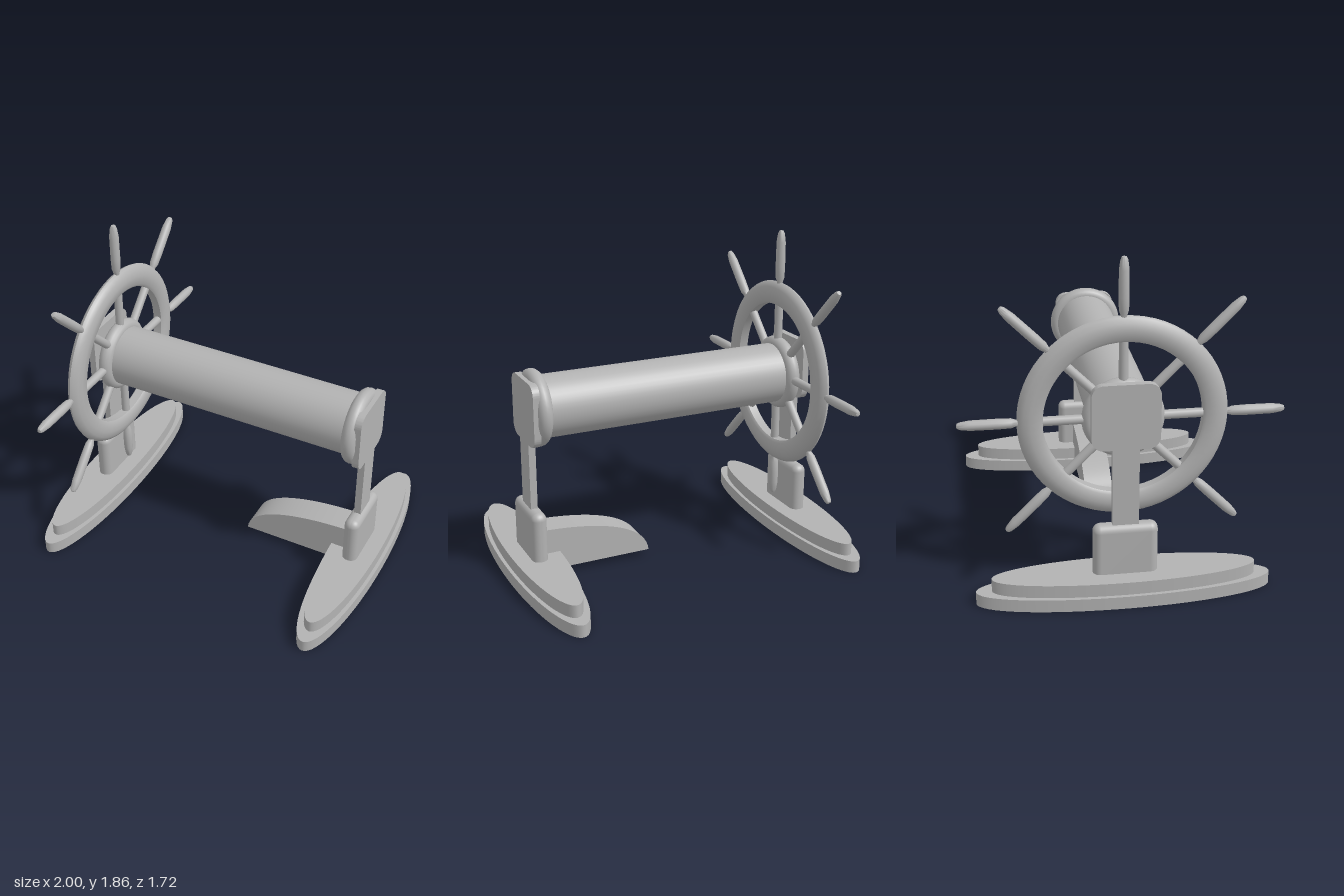
import * as THREE from 'three';
import { toCreasedNormals } from 'three/addons/utils/BufferGeometryUtils.js';
import { RoundedBoxGeometry } from 'three/addons/geometries/RoundedBoxGeometry.js';

const grey = new THREE.MeshStandardMaterial({ color: 0xb2b2b2 });
grey.name = 'grey';

function add(parent, name, geometry, x = 0, y = 0, z = 0) {
  const mesh = new THREE.Mesh(geometry, grey);
  mesh.name = name;
  mesh.position.set(x, y, z);
  parent.add(mesh);
  return mesh;
}

// Lathe from [radius, height] pairs, keeping hard edges
function lathe(points, segments) {
  const profile = points.map(([r, h]) => new THREE.Vector2(r, h));
  return toCreasedNormals(new THREE.LatheGeometry(profile, segments), 0.6);
}

// Flat elliptical slab
function slab(rx, rz, height) {
  return new THREE.CylinderGeometry(1, 1, height, 64).scale(rx, 1, rz);
}

// Rounded square bearing plate, facing along x
function bearingPlate(half, corner, thickness) {
  const s = new THREE.Shape();
  const k = half - corner;
  s.absarc(k, k, corner, 0, Math.PI / 2);
  s.absarc(-k, k, corner, Math.PI / 2, Math.PI);
  s.absarc(-k, -k, corner, Math.PI, Math.PI * 1.5);
  s.absarc(k, -k, corner, Math.PI * 1.5, Math.PI * 2);
  const g = new THREE.ExtrudeGeometry(s, { depth: thickness, bevelEnabled: false, curveSegments: 8 });
  return toCreasedNormals(g.translate(0, 0, -thickness / 2).rotateY(Math.PI / 2), 0.6);
}

function createStand(name, x, plateY) {
  const stand = new THREE.Group();
  stand.name = name;
  stand.position.x = x;
  add(stand, 'lowerBase', slab(0.16, 0.8, 0.072), 0, 0.036);
  add(stand, 'upperBase', slab(0.14, 0.715, 0.075), 0, 0.1075);
  add(stand, 'socketBlock', new RoundedBoxGeometry(0.09, 0.36, 0.35, 4, 0.042), 0, 0.25);
  const bottom = 0.4, top = plateY - 0.1;
  add(stand, 'post', new THREE.BoxGeometry(0.04, top - bottom, 0.142), 0, (top + bottom) / 2);
  add(stand, 'bearingPlate', bearingPlate(0.18, 0.065, 0.04), 0, plateY);
  return stand;
}

function createWheel() {
  const wheel = new THREE.Group();
  wheel.name = 'wheel';
  wheel.position.set(-0.753, 1, 0);

  // Rim with flat faces and a rounded outer edge
  const rim = lathe([[0.42, -0.026], [0.435, -0.038], [0.485, -0.042], [0.52, -0.034], [0.545, -0.017],
    [0.553, 0], [0.545, 0.017], [0.52, 0.034], [0.485, 0.042], [0.435, 0.038], [0.42, 0.026], [0.42, -0.026]], 64);
  add(wheel, 'rim', rim.rotateZ(-Math.PI / 2));

  // Eight spokes, each with a turned handle outside the rim
  const spoke = new THREE.CylinderGeometry(0.025, 0.025, 0.34, 16);
  for (let i = 0; i < 8; i++) {
    const arm = new THREE.Group();
    arm.name = 'spokeArm' + i;
    arm.rotation.x = i * Math.PI / 4;
    wheel.add(arm);
    add(arm, 'spoke', spoke, 0, 0.275);
    const tip = i === 4 ? 0.79 : i % 2 ? 0.88 : 0.86;
    const handle = lathe([[0.015, 0.53], [0.018, 0.555], [0.026, 0.58], [0.028, 0.65],
      [0.027, tip - 0.07], [0.02, tip - 0.02], [0.013, tip - 0.004], [0, tip]], 12);
    add(arm, 'handle', handle);
  }
  return wheel;
}

export function createModel() {
  const model = new THREE.Group();
  model.name = 'wheelAndDrum';

  model.add(createStand('rightStand', -0.842, 1.04));
  model.add(createStand('leftStand', 0.838, 0.995));
  model.add(createWheel());

  // Horizontal drum with a collar at each end
  add(model, 'drum', new THREE.CylinderGeometry(0.178, 0.178, 1.59, 40).rotateZ(Math.PI / 2), 0.03, 1);
  for (const x of [-0.753, 0.79]) {
    add(model, 'collar', new THREE.TorusGeometry(0.176, 0.043, 14, 48).rotateY(Math.PI / 2), x, 1);
  }

  // Curved foot projecting inwards from one stand
  const foot = new THREE.Shape();
  foot.moveTo(0.145, 0.04);
  foot.lineTo(0.82, 0.04);
  foot.lineTo(0.82, 0.29);
  foot.bezierCurveTo(0.5, 0.285, 0.16, 0.22, 0.145, 0.04);
  const footGeometry = new THREE.ExtrudeGeometry(foot, { depth: 0.17, bevelEnabled: false, curveSegments: 20 });
  add(model, 'foot', toCreasedNormals(footGeometry, 0.6), 0, 0, -0.085);

  return model;
}
